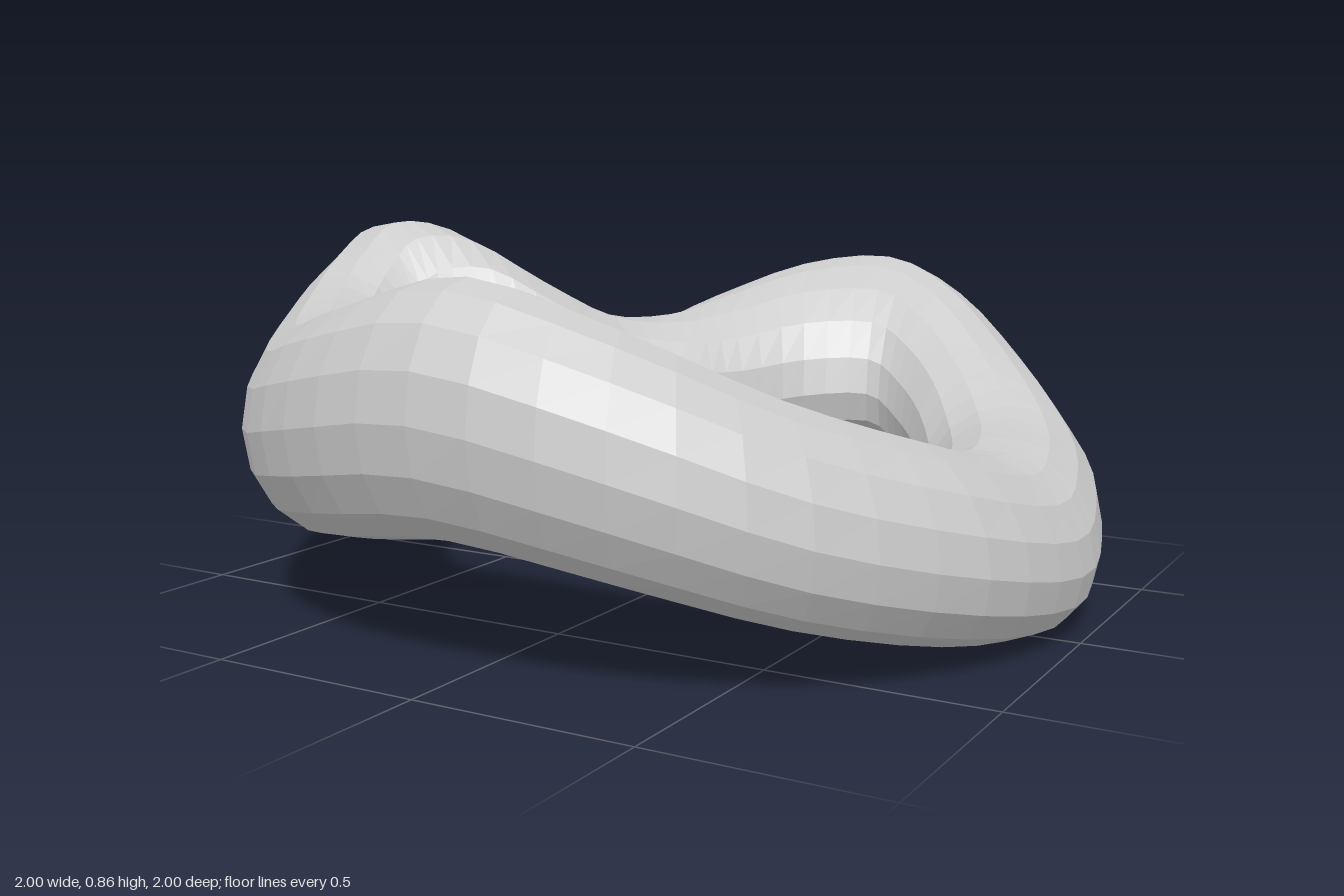
import * as THREE from 'three';

// A section has an inner and an outer edge point, its half height, and an outer edge raised by rise
const section = (xIn, zIn, xOut, zOut, y, half, rise) => ({
  inner: new THREE.Vector3(xIn, y - rise, zIn),
  outer: new THREE.Vector3(xOut, y + rise, zOut),
  half: new THREE.Vector3(0, half, 0),
});

// Section on the true circle, at an angle from the left side towards the front
const roundSection = (degrees, y, half, rise) => {
  const a = THREE.MathUtils.degToRad(degrees), c = Math.cos(a), s = Math.sin(a);
  return section(0.6 * c, 0.6 * s, c, s, y, half, rise);
};

const sections = [
  // circular side and front
  ...[
    [-30, 0.25, 0.19, 0],
    [-14, 0.21, 0.19, -0.03],
    [0, 0.2, 0.19, -0.05],
    [22, 0.26, 0.205, -0.04],
    [45, 0.35, 0.22, -0.03],
    [67, 0.46, 0.245, -0.01],
    [90, 0.535, 0.265, 0],
    [112, 0.485, 0.255, 0],
    [134, 0.43, 0.245, 0],
  ].map((s) => roundSection(...s)),
  // tight bend, sunken diagonal, raised back
  ...[
    [-0.525, 0.29, -0.924, 0.383, 0.455, 0.265, 0.02],
    [-0.55, 0.205, -0.985, 0.2, 0.5, 0.295, 0.03],
    [-0.53, 0.15, -1, 0.03, 0.535, 0.325, 0.03],
    [-0.42, 0.08, -0.95, -0.14, 0.53, 0.31, 0],
    [-0.28, 0.02, -0.78, -0.34, 0.45, 0.27, -0.03],
    [-0.15, -0.08, -0.62, -0.5, 0.39, 0.225, -0.05],
    [-0.04, -0.19, -0.46, -0.63, 0.39, 0.22, -0.02],
    [0.03, -0.3, -0.33, -0.74, 0.43, 0.22, 0.03],
    [0.13, -0.44, -0.11, -0.935, 0.495, 0.22, 0.08],
    [0.27, -0.52, 0.15, -1, 0.52, 0.21, 0.1],
    [0.36, -0.49, 0.4, -0.917, 0.455, 0.21, 0.08],
    [0.45, -0.405, 0.64, -0.768, 0.35, 0.2, 0.03],
  ].map((s) => section(...s)),
];
const STEPS = sections.length * 3, SIDES = 16;

const loop = (key) => new THREE.CatmullRomCurve3(
  sections.map((s) => s[key]), true, 'catmullrom', 0.5);

function ringGeometry() {
  const inner = loop('inner'), outer = loop('outer'), half = loop('half');
  const positions = [], index = [];

  for (let i = 0; i < STEPS; i++) {
    const t = i / STEPS;
    const a = inner.getPoint(t), b = outer.getPoint(t), up = half.getPoint(t);
    const centre = a.clone().add(b).multiplyScalar(0.5);
    const across = b.clone().sub(a).multiplyScalar(0.5);
    for (let j = 0; j < SIDES; j++) {
      const angle = (j / SIDES) * Math.PI * 2;
      const p = centre.clone()
        .addScaledVector(across, Math.cos(angle))
        .addScaledVector(up, Math.sin(angle));
      positions.push(p.x, p.y, p.z);

      // Join this section to the next one, closing both ways
      const i2 = (i + 1) % STEPS, j2 = (j + 1) % SIDES;
      const p00 = i * SIDES + j, p01 = i * SIDES + j2;
      const p10 = i2 * SIDES + j, p11 = i2 * SIDES + j2;
      index.push(p00, p01, p10, p01, p11, p10);
    }
  }

  const geometry = new THREE.BufferGeometry();
  geometry.setAttribute('position', new THREE.Float32BufferAttribute(positions, 3));
  geometry.setIndex(index);
  geometry.computeVertexNormals();
  geometry.computeBoundingBox();
  const { min, max } = geometry.boundingBox;
  geometry.translate(-(min.x + max.x) / 2, -min.y, -(min.z + max.z) / 2);
  return geometry;
}

export function createModel() {
  const group = new THREE.Group();
  group.name = 'warpedRing';
  const material = new THREE.MeshStandardMaterial({ color: 0xcccccc, flatShading: true });
  const ring = new THREE.Mesh(ringGeometry(), material);
  ring.name = 'ring';
  group.add(ring);
  return group;
}
